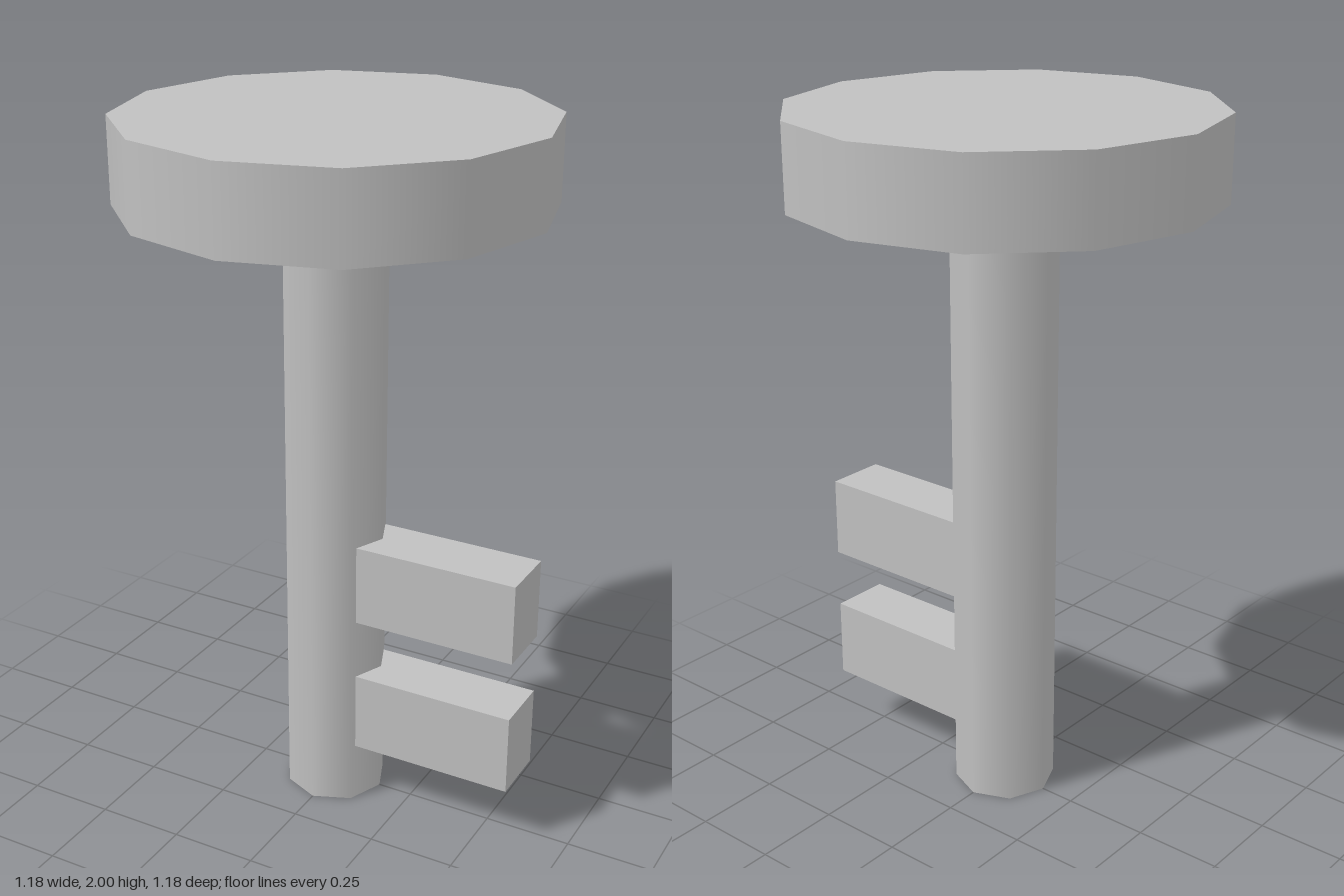
import * as THREE from 'three';

export function createModel() {
  const group = new THREE.Group();
  const grey = new THREE.MeshStandardMaterial({ color: 0xc0c0c0 });
  grey.name = 'plain grey';

  const add = (name, geometry, x, y) => {
    const mesh = new THREE.Mesh(geometry, grey);
    mesh.name = name;
    mesh.position.set(x, y, 0);
    group.add(mesh);
  };

  const thickness = 0.235; // shared by the head and the teeth
  const headRadius = 0.588;
  const shaftTop = 2 - thickness;

  // Twelve-sided head and eight-sided shaft, smooth around the sides
  add('head', new THREE.CylinderGeometry(headRadius, headRadius, thickness, 12), 0, 2 - thickness / 2);
  add('shaft', new THREE.CylinderGeometry(0.147, 0.147, shaftTop, 8), 0, shaftTop / 2);

  // Two teeth, rooted inside the shaft and ending level with the head's rim
  const root = 0.06;
  const length = headRadius - root;
  [['lowerTooth', 0.294], ['upperTooth', 0.706]].forEach(([name, y]) =>
    add(name, new THREE.BoxGeometry(length, thickness, 0.176), root + length / 2, y));

  return group;
}
